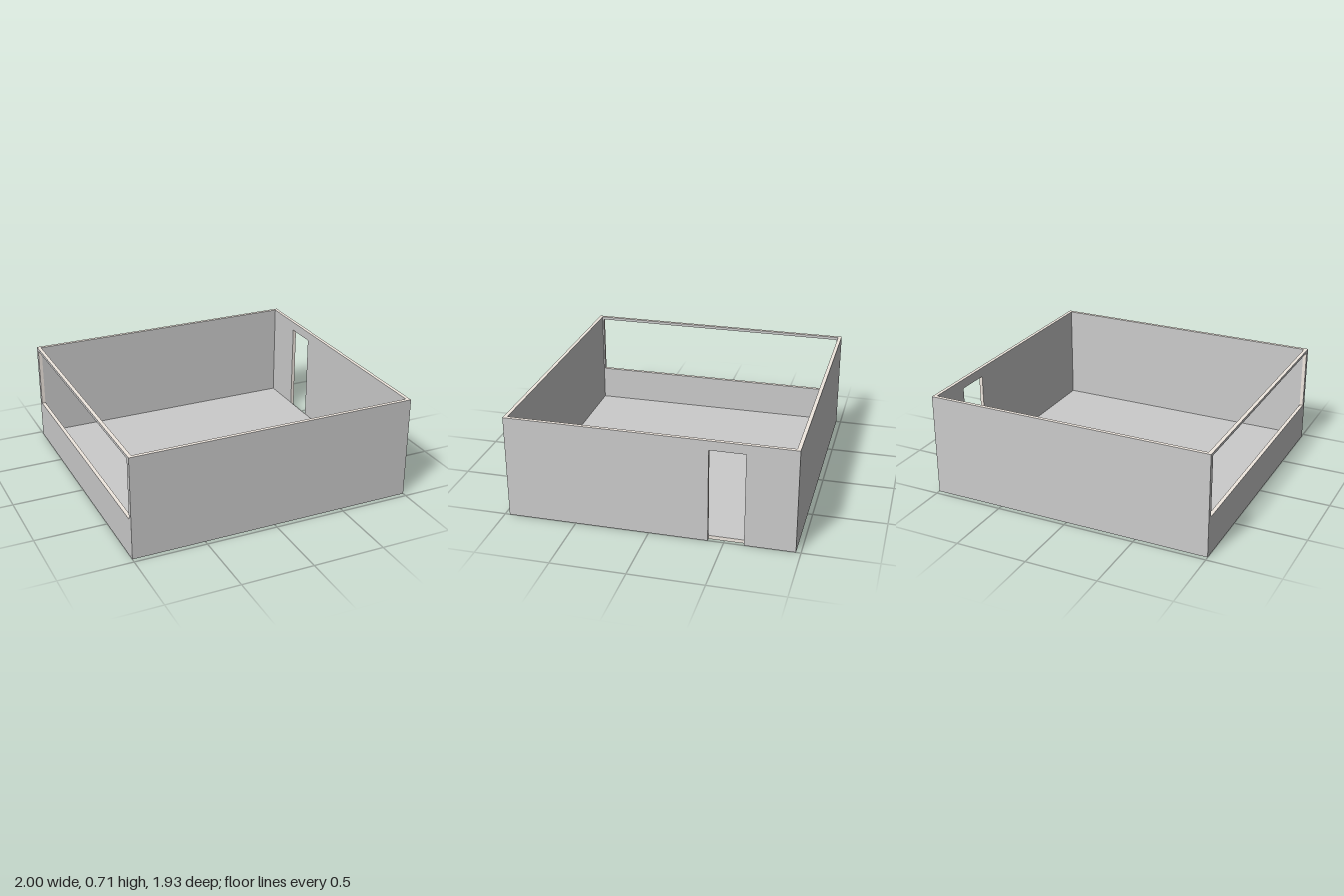
import * as THREE from 'three';

const W = 2, D = 1.935, H = 0.715, T = 0.025; // outer size and wall thickness
const grey = new THREE.MeshStandardMaterial({ color: 0xcccccc });
const beige = new THREE.MeshStandardMaterial({ color: 0xf0e8e0 });

function box(name, size, pos, materials) {
  const mesh = new THREE.Mesh(new THREE.BoxGeometry(...size), materials);
  mesh.name = name;
  mesh.position.set(...pos);
  return mesh;
}

// Polygon from [z, y] points; z is negated so the extrusion can be turned to run along x
const trace = (path, points) => {
  path.setFromPoints(points.map(([z, y]) => new THREE.Vector2(-z, y)));
  path.closePath();
  return path;
};

// Side wall: grey faces, beige cut edges
function sideWall(name, shape, x) {
  const geo = new THREE.ExtrudeGeometry(shape, { depth: T, bevelEnabled: false });
  geo.rotateY(Math.PI / 2);
  const mesh = new THREE.Mesh(geo, [grey, beige]);
  mesh.name = name;
  mesh.position.x = x;
  return mesh;
}

export function createModel() {
  const room = new THREE.Group();
  room.name = 'room';
  const zi = D / 2 - T; // inner face of the front and back walls

  // Floor slab, lying between the walls
  room.add(box('floor', [W - 2 * T, T, D - 2 * T], [0, T / 2, 0],
    [beige, beige, grey, beige, beige, beige]));

  // Solid front and back walls with pale top edges
  for (const [name, s] of [['frontWall', 1], ['backWall', -1]]) {
    room.add(box(name, [W, H, T], [0, H / 2, s * (D - T) / 2],
      [grey, grey, beige, beige, grey, grey]));
  }

  // Left wall (+x) with a doorway open to the ground
  const doorWall = trace(new THREE.Shape(), [
    [zi, 0], [-0.395, 0], [-0.395, 0.65], [-0.633, 0.65],
    [-0.633, 0], [-zi, 0], [-zi, H], [zi, H],
  ]);
  room.add(sideWall('doorWall', doorWall, W / 2 - T));

  // Right wall (-x) with a wide window under a thin top rail
  const windowWall = trace(new THREE.Shape(), [[zi, 0], [-zi, 0], [-zi, H], [zi, H]]);
  const zw = zi - 0.01;
  windowWall.holes.push(trace(new THREE.Path(),
    [[zw, 0.272], [zw, 0.695], [-zw, 0.695], [-zw, 0.272]]));
  room.add(sideWall('windowWall', windowWall, -W / 2));

  return room;
}
